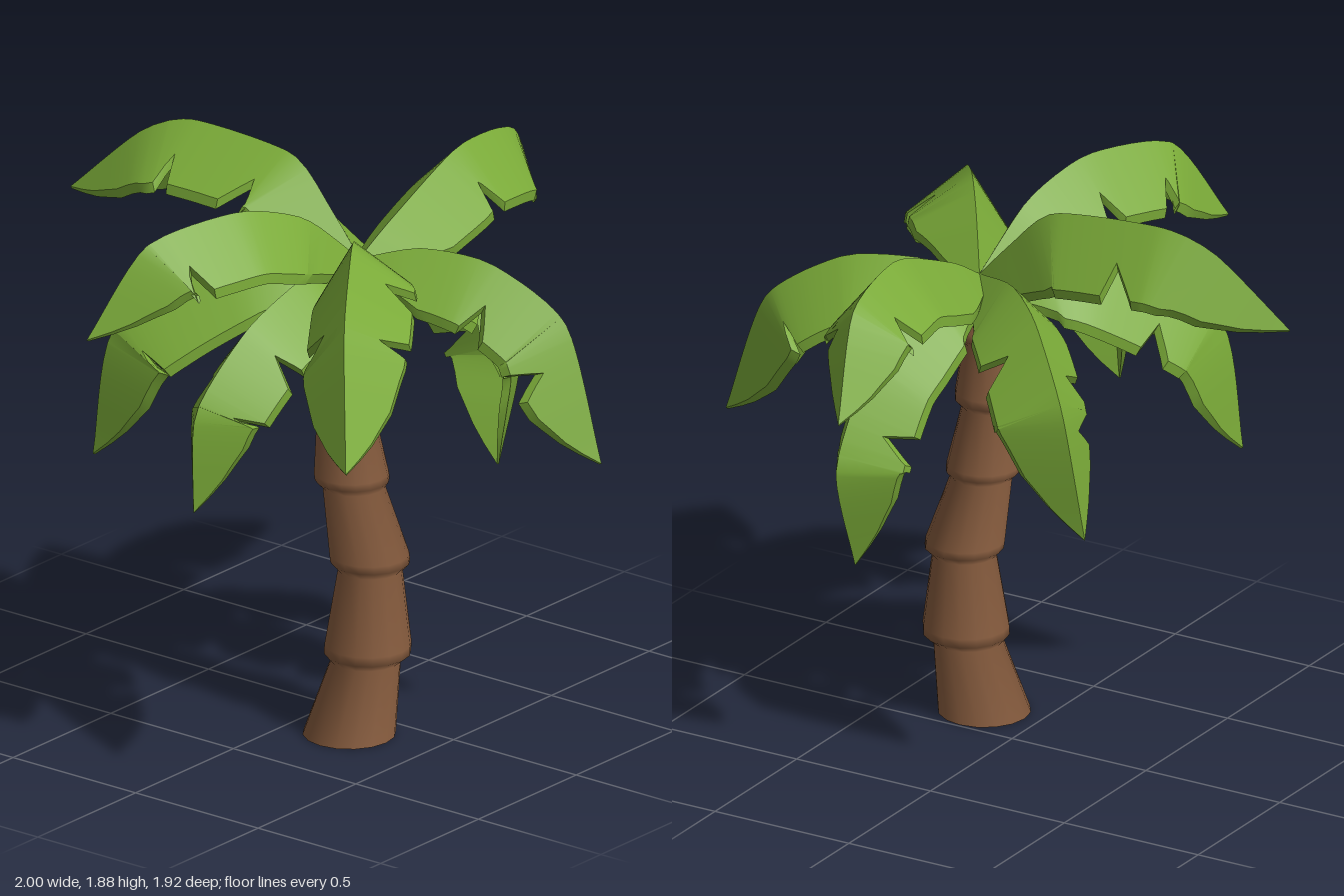
import * as THREE from 'three';
import { toCreasedNormals } from 'three/addons/utils/BufferGeometryUtils.js';

// piecewise-linear lookup in rows of [key, a, b, ...]
function lookup(rows, k, col) {
  for (let i = 1; i < rows.length; i++) {
    const a = rows[i - 1], b = rows[i];
    if (k <= b[0]) return THREE.MathUtils.mapLinear(k, a[0], b[0], a[col], b[col]);
  }
  return rows[rows.length - 1][col];
}

// trunk centre line: height, x, z
const TRUNK_LINE = [
  [0, -0.158, 0.2], [0.28, -0.117, 0.243], [0.59, -0.1, 0.24],
  [0.86, -0.12, 0.18], [1.12, -0.12, 0.15], [1.37, -0.083, 0.13], [1.55, -0.065, 0.125],
];
// trunk profile: radius, height, with a flared lip at each joint
const TRUNK_PROFILE = [
  [0.15, 0], [0.113, 0.25], [0.14, 0.275], [0.14, 0.305],
  [0.104, 0.555], [0.128, 0.58], [0.128, 0.605],
  [0.1, 0.83], [0.12, 0.852], [0.12, 0.875],
  [0.092, 1.08], [0.117, 1.105], [0.117, 1.135],
  [0.09, 1.32], [0.114, 1.345], [0.112, 1.375], [0.065, 1.51], [0.03, 1.54],
];

// open-bottomed trunk, sheared to follow its centre line
function makeTrunk(material) {
  const geo = new THREE.LatheGeometry(TRUNK_PROFILE.map(([r, y]) => new THREE.Vector2(r, y)), 16);
  const p = geo.attributes.position;
  for (let i = 0; i < p.count; i++) {
    const y = p.getY(i);
    p.setX(i, p.getX(i) + lookup(TRUNK_LINE, y, 1));
    p.setZ(i, p.getZ(i) + lookup(TRUNK_LINE, y, 2));
  }
  const trunk = new THREE.Mesh(geo, material);
  trunk.name = 'trunk';
  return trunk;
}

// half-width of a frond along its length
const OUTLINE = [
  [0, 0.25], [0.1, 0.62], [0.2, 0.9], [0.32, 0.98], [0.55, 1], [0.7, 0.98], [0.83, 0.75], [0.93, 0.38], [1, 0],
];
const NOTCH_IN = 0.03, NOTCH_OUT = 0.06;

function outlineAt(t, notches) {
  let w = lookup(OUTLINE, t, 1);
  for (const c of notches) {
    const d = t < c ? (c - t) / NOTCH_IN : (t - c) / NOTCH_OUT;
    w *= 1 - 0.45 * Math.max(0, 1 - d);
  }
  return w;
}

// folded, drooping frond: ridge along the spine, two notched halves, real thickness
function makeFrond({ spine, left, right, width = 0.158, roll = 0 }, material) {
  const points = [ROOT, ...spine].map((q) => new THREE.Vector3(...q));
  const curve = new THREE.CatmullRomCurve3(points, false, 'catmullrom', 0.35);
  const steps = Array.from({ length: 25 }, (_, i) => i / 24);
  for (const c of [...left, ...right]) steps.push(c - NOTCH_IN, c, c + NOTCH_OUT);
  const ts = [...new Set(steps.map((t) => +t.toFixed(4)))].sort((a, b) => a - b);

  // positive roll lowers the right half
  const chord = curve.getPoint(1).sub(curve.getPoint(0)).setY(0).normalize();
  const side = new THREE.Vector3(-chord.z, 0, chord.x).applyAxisAngle(chord, roll);
  const out = [];
  const quad = (flip, a, b, c, d) => {
    const order = flip ? [a, c, b, a, d, c] : [a, b, c, a, c, d];
    for (const v of order) out.push(v.x, v.y, v.z);
  };

  for (const [s, notches] of [[1, right], [-1, left]]) {
    const rows = ts.map((t) => {
      const ridge = curve.getPointAt(t);
      const normal = side.clone().cross(curve.getTangentAt(t)).normalize();
      const w = outlineAt(t, notches) * width;
      const edge = ridge.clone().addScaledVector(side, s * w).addScaledVector(normal, -1.08 * w);
      const th = -0.034 * Math.min(1, 0.25 + (1 - t) * 5);
      return {
        ridge, edge,
        ridgeLow: ridge.clone().addScaledVector(normal, th),
        edgeLow: edge.clone().addScaledVector(normal, th),
      };
    });
    for (let i = 1; i < rows.length; i++) {
      const a = rows[i - 1], b = rows[i], flip = s < 0;
      quad(flip, a.ridge, a.edge, b.edge, b.ridge);
      quad(!flip, a.ridgeLow, a.edgeLow, b.edgeLow, b.ridgeLow);
      quad(flip, a.edge, a.edgeLow, b.edgeLow, b.edge);
    }
  }
  const geo = new THREE.BufferGeometry();
  geo.setAttribute('position', new THREE.Float32BufferAttribute(out, 3));
  return new THREE.Mesh(toCreasedNormals(geo, 0.7), material);
}

// shared root of all fronds, then each spine and its notches
const ROOT = [-0.03, 1.57, 0.14];
const FRONDS = {
  backFrond: { left: [0.35, 0.6], right: [0.5], width: 0.172, roll: 0.2,
    spine: [[-0.02, 1.7, 0.02], [-0.01, 1.85, -0.15], [-0.03, 1.88, -0.54], [-0.07, 1.81, -0.72], [-0.13, 1.58, -0.96]] },
  backLeftFrond: { left: [0.5, 0.72], right: [0.4],
    spine: [[0.1, 1.62, -0.06], [0.22, 1.57, -0.22], [0.4, 1.37, -0.43], [0.39, 0.94, -0.51]] },
  leftFrond: { left: [0.62], right: [0.41, 0.74], roll: 0.06,
    spine: [[0.12, 1.66, 0.15], [0.48, 1.8, 0.14], [0.81, 1.75, 0.1], [1, 1.44, 0.04]] },
  frontLeftFrond: { left: [0.58], right: [0.42, 0.66], width: 0.148,
    spine: [[0.2, 1.56, 0.2], [0.45, 1.39, 0.26], [0.62, 1.09, 0.28], [0.52, 0.73, 0.27]] },
  frontFrond: { left: [0.6], right: [0.42, 0.72],
    spine: [[0.06, 1.62, 0.32], [0.13, 1.6, 0.55], [0.2, 1.43, 0.8], [0.18, 1, 0.96]] },
  frontRightFrond: { left: [0.4, 0.62], right: [0.56], width: 0.17, roll: 0.22,
    spine: [[-0.19, 1.7, 0.25], [-0.36, 1.75, 0.37], [-0.66, 1.61, 0.58], [-0.89, 1.24, 0.77]] },
  lowRightFrond: { left: [0.48, 0.7], right: [0.6], width: 0.148,
    spine: [[-0.3, 1.6, 0.15], [-0.6, 1.5, 0.14], [-0.83, 1.27, 0.11], [-0.83, 0.93, 0.1]] },
  rightFrond: { left: [0.65], right: [0.42, 0.66], roll: 0.08,
    spine: [[-0.25, 1.76, 0.09], [-0.5, 1.84, 0.02], [-0.82, 1.79, -0.1], [-1, 1.5, -0.2]] },
  backRightFrond: { left: [0.64], right: [0.5],
    spine: [[-0.17, 1.62, -0.05], [-0.31, 1.57, -0.2], [-0.55, 1.34, -0.45], [-0.58, 0.91, -0.51]] },
};

export function createModel() {
  const bark = new THREE.MeshStandardMaterial({ color: 0x875c3e, side: THREE.DoubleSide });
  bark.name = 'bark brown';
  const leaf = new THREE.MeshStandardMaterial({ color: 0x7aaa38 });
  leaf.name = 'leaf green';

  const model = new THREE.Group();
  model.name = 'palmTree';
  model.add(makeTrunk(bark));

  const crown = new THREE.Group();
  crown.name = 'crown';
  for (const [name, spec] of Object.entries(FRONDS)) {
    const frond = makeFrond(spec, leaf);
    frond.name = name;
    crown.add(frond);
  }
  model.add(crown);
  return model;
}
